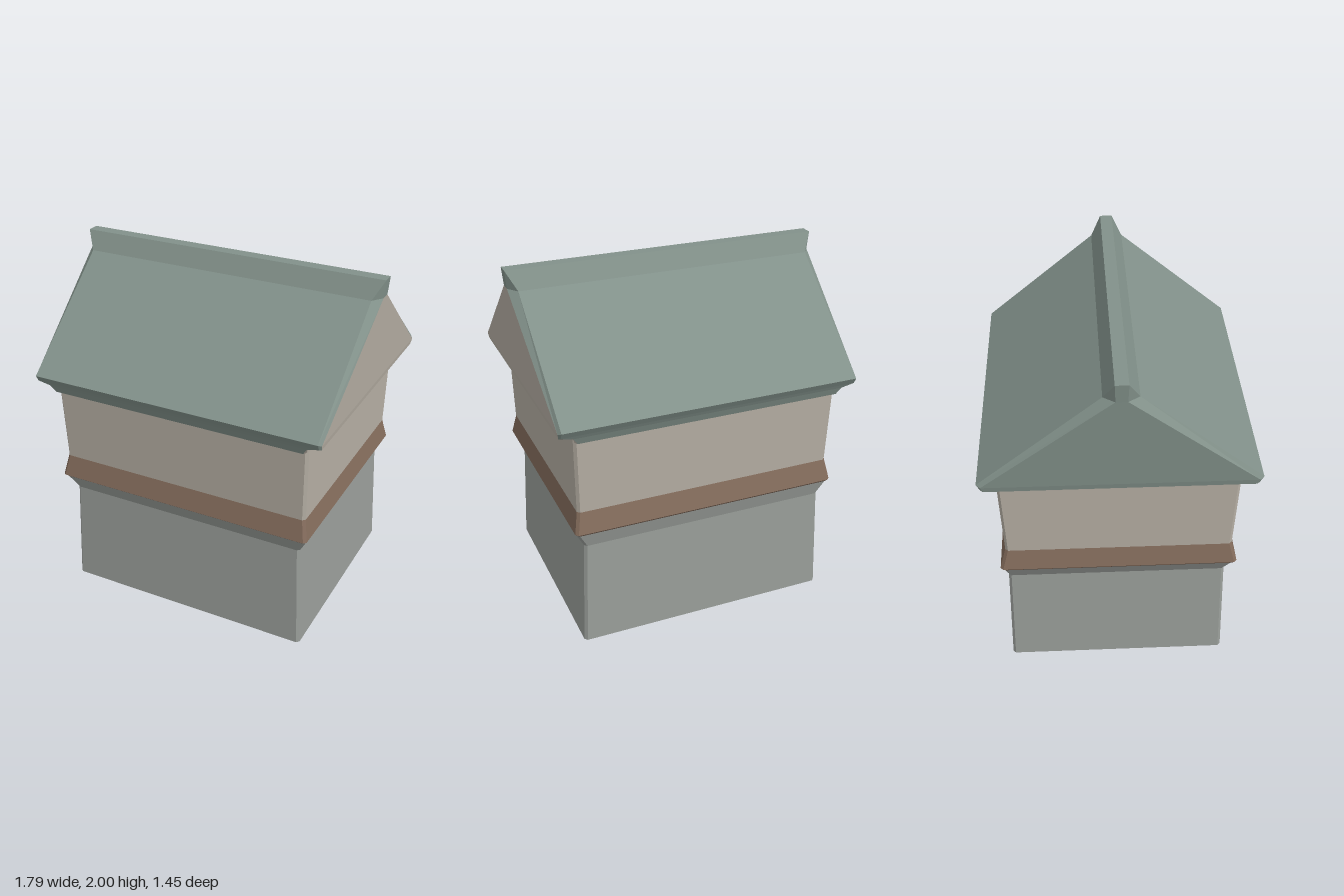
import * as THREE from 'three';

const paint = (color) => new THREE.MeshStandardMaterial({ color, flatShading: true, side: THREE.DoubleSide });
const stone = paint(0x9a9e9a);
const timber = paint(0x846c5c);
const plaster = paint(0xb6afa4);
const slate = paint(0x82918a);

// Mesh from planar polygons, each wound to face away from a centre point
function shell(name, material, polygons, centre = new THREE.Vector3(0, 1.5, 0)) {
  const positions = [];
  for (const poly of polygons) {
    const pts = poly.map((p) => new THREE.Vector3(...p));
    const mid = pts.reduce((s, p) => s.add(p), new THREE.Vector3()).divideScalar(pts.length);
    const normal = pts[1].clone().sub(pts[0]).cross(pts[2].clone().sub(pts[0]));
    if (normal.dot(mid.sub(centre)) < 0) pts.reverse();
    for (let i = 1; i < pts.length - 1; i++) {
      for (const p of [pts[0], pts[i], pts[i + 1]]) positions.push(p.x, p.y, p.z);
    }
  }
  const geometry = new THREE.BufferGeometry();
  geometry.setAttribute('position', new THREE.Float32BufferAttribute(positions, 3));
  geometry.computeVertexNormals();
  const mesh = new THREE.Mesh(geometry, material);
  mesh.name = name;
  return mesh;
}

// Rectangle with small chamfered corners at one height
function ring([y, hx, hz, dz]) {
  const c = 0.015;
  return [
    [hx, hz - c], [hx - c, hz], [c - hx, hz], [-hx, hz - c],
    [-hx, c - hz], [c - hx, -hz], [hx - c, -hz], [hx, c - hz],
  ].map(([x, z]) => [x - 0.006, y, z + dz]);
}

// Open tube of walls through [y, halfWidth, halfDepth, zOffset] levels
function walls(name, material, levels) {
  const polygons = [];
  for (let k = 0; k < levels.length - 1; k++) {
    const a = ring(levels[k]), b = ring(levels[k + 1]);
    a.forEach((p, i) => {
      const j = (i + 1) % a.length;
      polygons.push([p, a[j], b[j], b[i]]);
    });
  }
  return shell(name, material, polygons, new THREE.Vector3(0, (levels[0][0] + levels.at(-1)[0]) / 2, 0));
}

const flipX = ([x, y, z]) => [-x, y, z];
const flipZ = ([x, y, z]) => [x, y, -z];
const acrossX = (a, b) => [a, b, flipX(b), flipX(a)];
const acrossZ = (a, b) => [a, b, flipZ(b), flipZ(a)];
const mirrorX = (polys) => polys.concat(polys.map((p) => p.map(flipX)));
const mirrorZ = (polys) => polys.concat(polys.map((p) => p.map(flipZ)));

export function createModel() {
  const model = new THREE.Group();
  model.name = 'house';

  // Walls, open underneath
  model.add(
    walls('stoneBase', stone, [[0, 0.733, 0.612, -0.01], [0.62, 0.71, 0.599, -0.012], [0.705, 0.755, 0.63, -0.004]]),
    walls('timberBand', timber, [[0.705, 0.755, 0.63, -0.004], [0.72, 0.766, 0.646, -0.002], [0.84, 0.743, 0.614, -0.002]]),
    walls('plasterWall', plaster, [[0.84, 0.743, 0.614, -0.002], [1.265, 0.752, 0.63, -0.002], [1.325, 0.757, 0.63, -0.002]]),
  );

  // Roof corners, for the +x +z quarter
  const eave = [0.833, 1.38, 0.725], verge = [0.847, 1.37, 0.704];
  const eaveLow = [0.833, 1.345, 0.705], vergeLow = [0.842, 1.34, 0.692];
  const capSide = [0.84, 1.9, 0.09], capEnd = [0.884, 1.9, 0.03], ridge = [0.893, 2, 0.034];
  const mouldTop = [0.765, 1.325, 0.695], mouldLow = [0.74, 1.285, 0.68];
  const mouldIn = [0.74, 1.265, 0.626], mouldBack = [0.757, 1.325, 0.628];

  model.add(
    shell('roofSlopes', slate, mirrorZ([acrossX(eave, capSide), acrossX(eave, eaveLow)])),
    shell('roofVerges', slate, mirrorX(mirrorZ([
      [eave, verge, capEnd, capSide],
      [eave, verge, vergeLow, eaveLow],
    ]))),
    shell('ridgeCap', slate, [
      acrossZ(ridge, flipX(ridge)),
      ...mirrorZ([acrossX(capSide, ridge)]),
      ...mirrorX([acrossZ(capEnd, ridge)]),
      ...mirrorX(mirrorZ([[capSide, capEnd, ridge]])),
    ]),
  );

  // Gables: plaster on the left end, slate on the right end
  const gable = [acrossZ(verge, capEnd), acrossZ(vergeLow, verge)];
  model.add(
    shell('leftGable', plaster, gable),
    shell('rightGable', slate, gable.map((p) => p.map(flipX))),
  );

  // Eaves moulding and undersides
  const below = new THREE.Vector3(0, 1.6, 0);
  model.add(
    shell('eavesMoulding', slate, [
      ...mirrorZ([acrossX(eaveLow, mouldTop), acrossX(mouldTop, mouldLow)]),
      ...mirrorX([acrossZ(vergeLow, mouldTop)]),
      ...mirrorX(mirrorZ([[eaveLow, vergeLow, mouldTop]])),
    ], below),
    shell('eavesMouldingEnds', plaster, mirrorX(mirrorZ([[mouldTop, mouldLow, mouldIn, mouldBack]]))),
    shell('eavesSoffit', timber, mirrorZ([acrossX(mouldLow, mouldIn)]), below),
  );
  return model;
}
